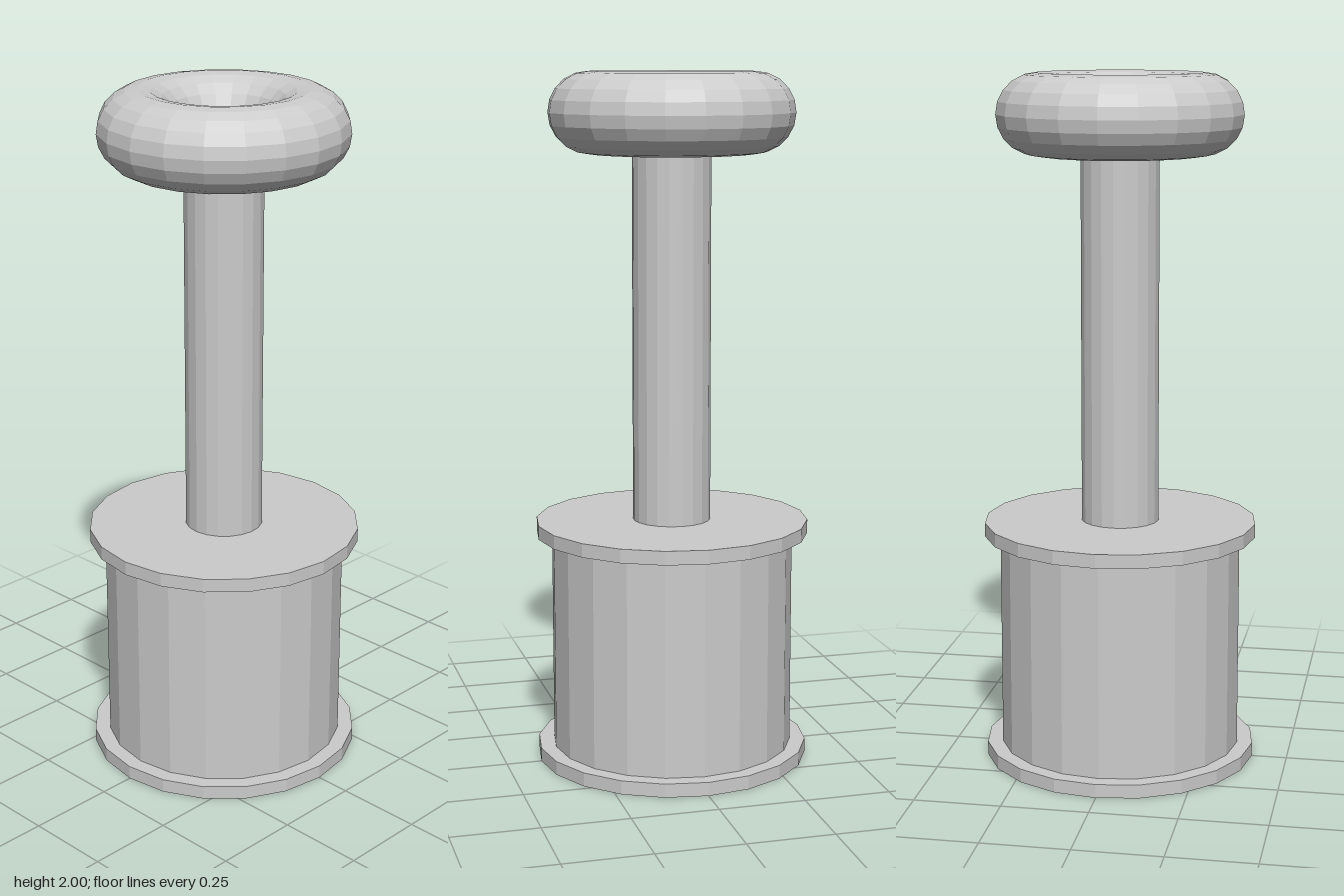
import * as THREE from 'three';

const SIDES = 20;

export function createModel() {
  const model = new THREE.Group();
  const material = new THREE.MeshStandardMaterial({ color: 0xcccccc, flatShading: true });

  function add(name, geometry, y = 0) {
    const mesh = new THREE.Mesh(geometry, material);
    mesh.name = name;
    mesh.position.y = y;
    model.add(mesh);
  }

  function drum(name, radius, bottom, top) {
    add(name, new THREE.CylinderGeometry(radius, radius, top - bottom, SIDES), (bottom + top) / 2);
  }

  // Base: a barrel between two wider plates
  drum('bottomPlate', 0.397, 0, 0.04);
  drum('barrel', 0.352, 0.04, 0.67);
  drum('topPlate', 0.397, 0.67, 0.71);

  // Shaft rising into the knob
  drum('shaft', 0.113, 0.71, 1.89);

  // Ring-shaped knob, its hole closed by a shallow dish
  const ringRadius = 0.237, tube = 0.115;
  const profile = [];
  for (let k = -10; k <= 9; k++) {
    const a = (k / 10) * Math.PI;
    profile.push(new THREE.Vector2(ringRadius + tube * Math.cos(a), tube * Math.sin(a)));
  }
  profile.push(new THREE.Vector2(0, 0.018));
  add('knob', new THREE.LatheGeometry(profile, SIDES), 2 - tube);

  return model;
}
